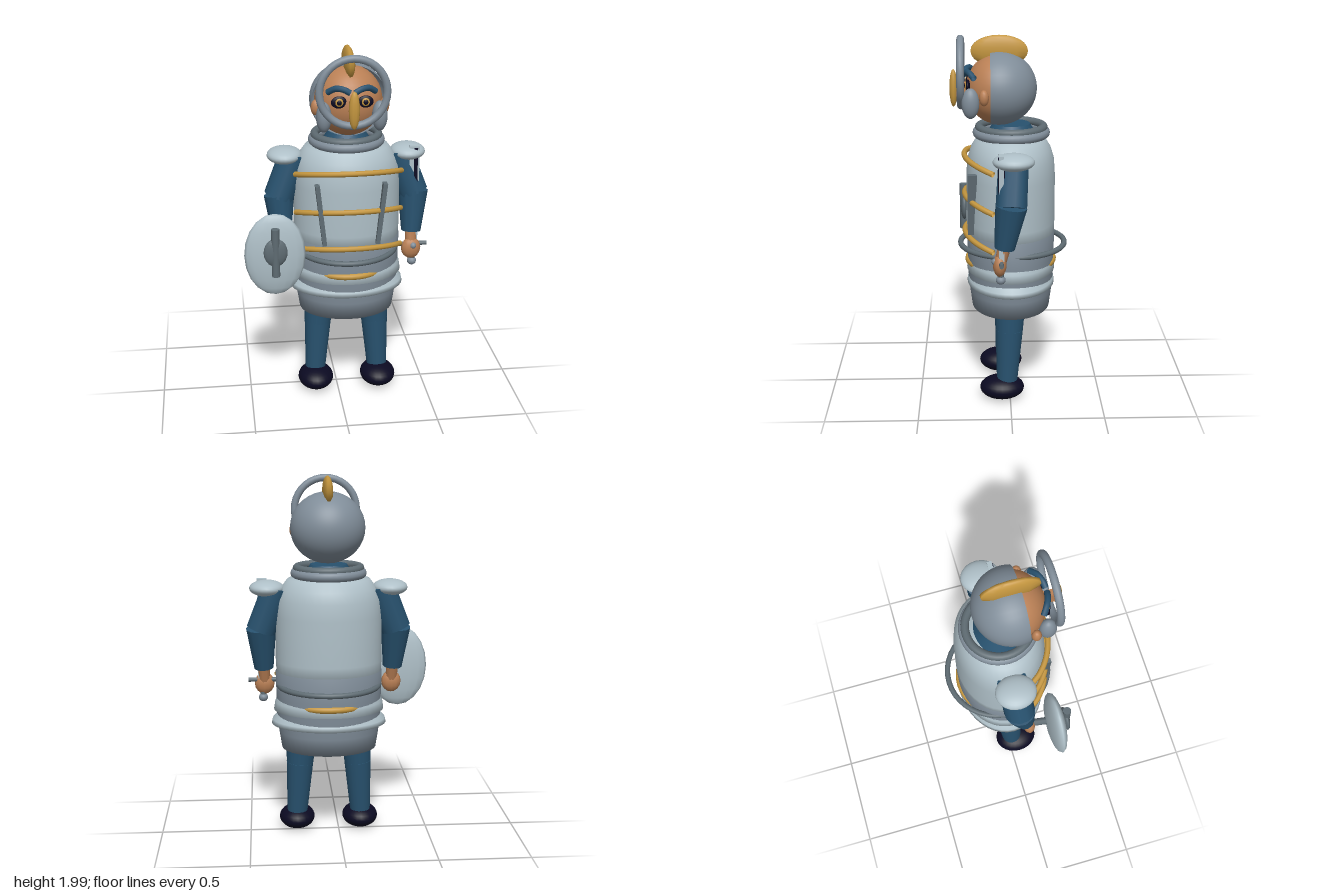
import * as THREE from 'three';

const mat = (name, color) => {
  const m = new THREE.MeshStandardMaterial({ color, side: THREE.DoubleSide });
  m.name = name;
  return m;
};
const PLATE = mat('pale steel', 0xafc0c8);
const STEEL = mat('steel', 0x808d99);
const IRON = mat('dark iron', 0x5f6c73);
const GOLD = mat('gold', 0xc4963f);
const SKIN = mat('skin', 0xba8055);
const BLUE = mat('blue cloth', 0x28526f);
const NAVY = mat('dark navy', 0x0b0a22);

const CX = 0.055; // middle line of the figure
const CZ = -0.007;
const V = (x, y, z) => new THREE.Vector3(x, y, z);

export function createModel() {
  const g = new THREE.Group();
  g.name = 'knight';

  const add = (name, geo, material, x = 0, y = 0, z = 0, parent = g) => {
    const m = new THREE.Mesh(geo, material);
    m.name = name;
    m.position.set(x, y, z);
    parent.add(m);
    return m;
  };
  const ball = (name, material, pos, r, ws = 24, hs = 16) =>
    add(name, new THREE.SphereGeometry(1, ws, hs).scale(...r), material, ...pos);
  const box = (name, material, pos, size) =>
    add(name, new THREE.BoxGeometry(...size), material, ...pos);
  // tapered limb between two points
  const limb = (name, material, a, b, ra, rb, sides = 20) => {
    const d = b.clone().sub(a);
    const m = add(name, new THREE.CylinderGeometry(rb, ra, d.length(), sides), material);
    m.position.copy(a).addScaledVector(d, 0.5);
    m.quaternion.setFromUnitVectors(V(0, 1, 0), d.normalize());
    return m;
  };
  // turned shell squashed to an oval, profile as [radius, y]
  const shell = (name, material, pts, squash) =>
    add(name, new THREE.LatheGeometry(pts.map(p => new THREE.Vector2(...p)), 40).scale(1, 1, squash),
      material, CX, 0, CZ);
  const ring = (name, material, R, tube, y, z = CZ, sx = 1, sy = 1) =>
    add(name, new THREE.TorusGeometry(R, tube, 12, 40).rotateX(Math.PI / 2).scale(sx, sy, 1), material, CX, y, z);

  // body armour
  shell('breastplate', PLATE, [[0, 0.88], [0.285, 0.88], [0.292, 1.0], [0.292, 1.25], [0.284, 1.34],
    [0.262, 1.4], [0.225, 1.45], [0.16, 1.48]], 0.82);
  shell('skirt', STEEL, [[0, 0.505], [0.262, 0.505], [0.277, 0.6], [0.288, 0.7], [0.29, 0.8], [0.294, 0.94], [0.25, 0.97]], 0.815);
  shell('upperFauld', PLATE, [[0.27, 0.72], [0.305, 0.725], [0.298, 0.77], [0.285, 0.8]], 0.79);
  shell('lowerFauld', PLATE, [[0.27, 0.645], [0.318, 0.645], [0.313, 0.67], [0.285, 0.7]], 0.755);
  ring('beltHoop', IRON, 0.285, 0.015, 0.865, -0.017, 0.97);
  ring('goldBelt', GOLD, 0.233, 0.018, 0.77);
  ring('collar', STEEL, 0.18, 0.027, 1.482, -0.01);
  ring('collarLip', IRON, 0.172, 0.022, 1.51, -0.01);
  add('neck', new THREE.CylinderGeometry(0.1, 0.17, 0.12, 24), BLUE, CX, 1.47, -0.01);

  // gold bands curving round the chest
  for (const y of [1.365, 1.15, 0.94]) {
    const pts = [];
    for (let i = -6; i <= 6; i++) {
      const t = i / 6 * 1.17;
      pts.push(V(CX + 0.312 * Math.sin(t), y - 0.042 * (i / 6) ** 2, CZ + 0.25 * Math.cos(t)));
    }
    add('chestBand', new THREE.TubeGeometry(new THREE.CatmullRomCurve3(pts), 32, 0.015, 8), GOLD);
  }

  // parts mirrored on both sides
  for (const s of [-1, 1]) {
    const P = (x, y, z) => V(CX + s * x, y, z);
    const at = (x, y, z) => [CX + s * x, y, z];

    const bar = box('chestBar', IRON, at(0.162, 1.125, 0.2), [0.024, 0.34, 0.05]);
    bar.rotation.z = -s * 0.11;

    limb('thigh', BLUE, P(0.15, 0.6, 0), P(0.163, 0.41, 0.005), 0.088, 0.075);
    limb('shin', BLUE, P(0.163, 0.41, 0.005), P(0.18, 0.1, 0.018), 0.075, 0.056);
    ball('boot', NAVY, at(0.18, 0.071, 0.045), [0.1, 0.064, 0.122]);

    limb('upperArm', BLUE, P(0.28, 1.41, -0.015), P(0.37, 1.17, 0), 0.08, 0.083, 12);
    limb('forearm', BLUE, P(0.37, 1.18, 0), P(0.358, 0.95, 0.035), 0.083, 0.054, 12);
    ball('hand', SKIN, at(0.355, 0.855, 0.06), [0.055, 0.062, 0.036], 12, 8);
    limb('wrist', SKIN, P(0.358, 0.96, 0.035), P(0.355, 0.86, 0.058), 0.035, 0.03, 10);
    ball('pauldron', PLATE, at(0.336, 1.402, -0.013), [0.095, 0.044, 0.108]);

    ball('ear', SKIN, at(0.18, 1.7, 0.135), [0.026, 0.042, 0.026], 12, 8);
    ball('cheekGuard', STEEL, at(0.145, 1.665, 0.205), [0.04, 0.08, 0.046]);
    ball('eye', NAVY, at(0.068, 1.745, 0.218), [0.042, 0.032, 0.012]);
    ball('iris', GOLD, at(0.068, 1.745, 0.226), [0.022, 0.022, 0.008], 16, 10);
    ball('pupil', NAVY, at(0.068, 1.745, 0.231), [0.013, 0.014, 0.006], 12, 8);
    const brow = new THREE.CatmullRomCurve3([P(0.012, 1.795, 0.235), P(0.045, 1.812, 0.228),
      P(0.085, 1.815, 0.212), P(0.125, 1.79, 0.185)]);
    add('eyebrow', new THREE.TubeGeometry(brow, 16, 0.016, 8), BLUE);
  }

  // head and helmet
  ball('face', SKIN, [CX, 1.715, 0.06], [0.18, 0.186, 0.17], 32, 20);
  add('helmet', new THREE.SphereGeometry(1, 36, 20, 0, Math.PI * 2, 0, Math.PI * 0.575)
    .rotateX(-Math.PI / 2).scale(0.205, 0.195, 0.2), STEEL, CX, 1.72, 0.055);
  ball('crest', GOLD, [CX, 1.915, 0.053], [0.03, 0.083, 0.158], 10, 12);
  add('visorRing', new THREE.TorusGeometry(0.174, 0.02, 12, 36), STEEL, CX, 1.803, 0.256);
  ball('noseGuard', GOLD, [CX, 1.72, 0.295], [0.029, 0.1, 0.022], 10, 8);
  box('noseBridge', SKIN, [CX, 1.71, 0.245], [0.035, 0.08, 0.07]);

  // shield
  ball('shield', PLATE, [-0.355, 0.912, 0.198], [0.165, 0.234, 0.046], 16, 10);
  ball('shieldBoss', IRON, [-0.355, 0.945, 0.252], [0.064, 0.08, 0.022], 16, 10);
  add('shieldBar', new THREE.CylinderGeometry(0.022, 0.022, 0.27, 12), IRON, -0.355, 0.945, 0.256);
  limb('shieldGrip', IRON, V(-0.3, 0.86, 0.06), V(-0.33, 0.9, 0.19), 0.02, 0.02, 8);

  // sword
  box('blade', PLATE, [0.418, 1.165, 0.05], [0.054, 0.56, 0.026]);
  for (const s of [-1, 1]) box('fuller', NAVY, [0.425, 1.24, 0.05 + s * 0.014], [0.02, 0.39, 0.006]);
  limb('crossGuard', IRON, V(0.345, 0.877, 0.052), V(0.5, 0.877, 0.052), 0.012, 0.012, 10);
  add('hilt', new THREE.CylinderGeometry(0.016, 0.016, 0.12, 10), IRON, 0.418, 0.83, 0.055);
  ball('guardKnob', STEEL, [0.418, 0.877, 0.085], [0.018, 0.018, 0.018], 12, 8);
  ball('pommel', STEEL, [0.418, 0.775, 0.055], [0.026, 0.024, 0.026], 12, 8);

  return g;
}
